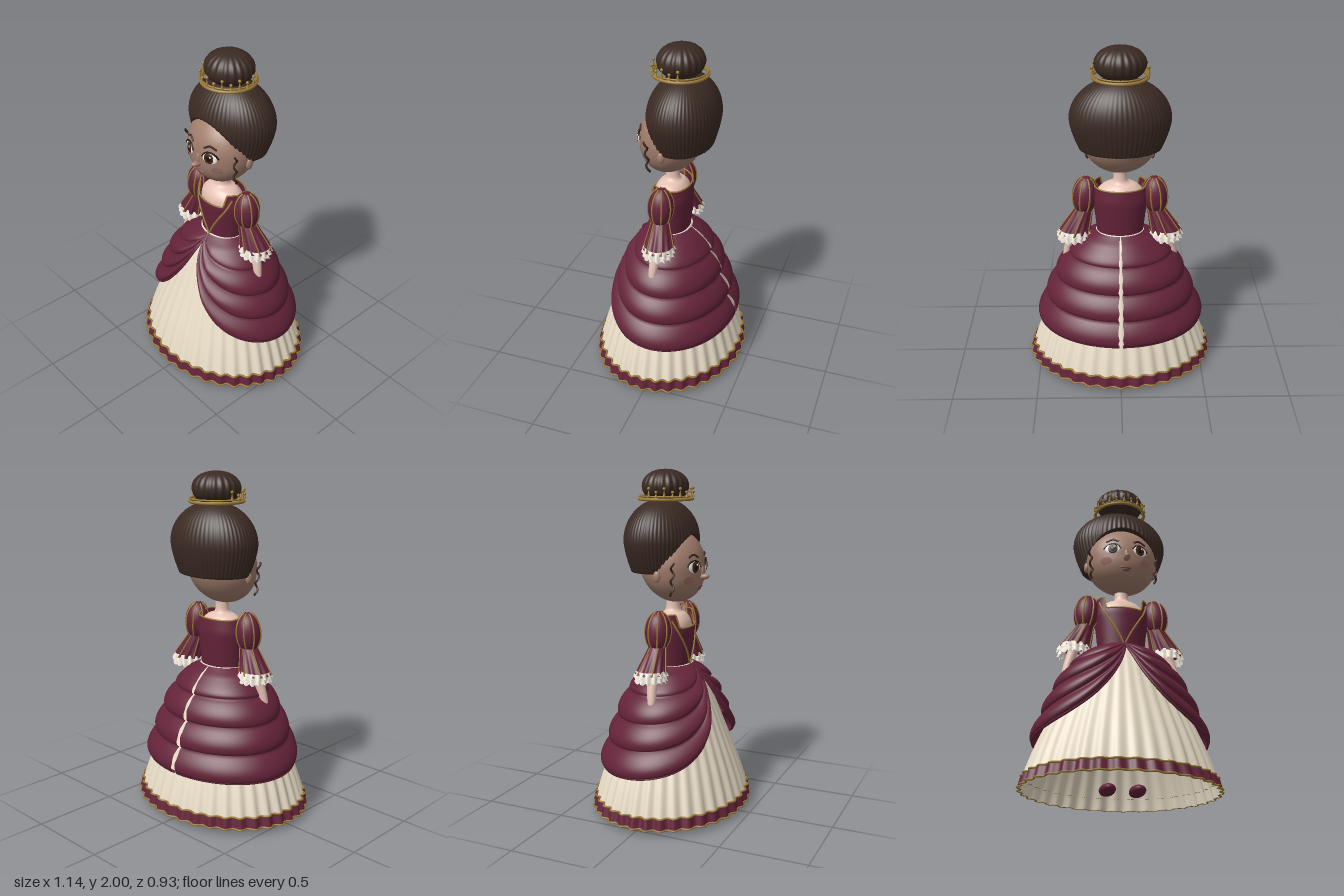
import * as THREE from 'three';

const { sin, cos, PI, abs, sqrt, max, min, exp } = Math;
const lerp = THREE.MathUtils.lerp;
const V = (x, y, z) => new THREE.Vector3(x, y, z);
const paint = (color) => new THREE.MeshStandardMaterial({ color, roughness: 0.8, side: THREE.DoubleSide });
const WINE = paint(0x642339), CREAM = paint(0xe8dcc6), GOLD = paint(0x9a7a35), HAIR = paint(0x3b2a23),
  FACE = paint(0xa17d6c), SKIN = paint(0xe6c2b3), LACE = paint(0xf0e8dc), DARK = paint(0x1c120e),
  IRIS = paint(0x4a2818), WHITE = paint(0xf4f0ea), LIP = paint(0x7c4843), BLUSH = paint(0xa3726a);

// Grid surface: f(u, v) gives a point; u runs around (counter-clockwise from above), v runs down
function surface(f, nu, nv, closed = true) {
  const pos = [], idx = [], cols = closed ? nu : nu + 1;
  for (let j = 0; j <= nv; j++) for (let i = 0; i < cols; i++) pos.push(...f(i / nu, j / nv));
  for (let j = 0; j < nv; j++) for (let i = 0; i < nu; i++) {
    const a = j * cols + i, b = j * cols + (i + 1) % cols;
    idx.push(a, a + cols, b + cols, a, b + cols, b);
  }
  const g = new THREE.BufferGeometry();
  g.setAttribute('position', new THREE.Float32BufferAttribute(pos, 3));
  g.setIndex(idx);
  g.computeVertexNormals();
  return g;
}
// Looks up [rx, rz] at a height in rows of [y, rx, rz], listed from the top down
function radii(rows, y) {
  let i = 0;
  while (i < rows.length - 2 && y < rows[i + 1][0]) i++;
  const [a, b] = [rows[i], rows[i + 1]], t = min(1, max(0, (a[0] - y) / (a[0] - b[0])));
  return [lerp(a[1], b[1], t), lerp(a[2], b[2], t)];
}

const BODICE = [[1.2, 0.15, 0.105], [1.08, 0.165, 0.122], [0.98, 0.15, 0.115], [0.87, 0.138, 0.105]];
const OVER = [[0.875, 0.135, 0.11], [0.84, 0.2, 0.155], [0.75, 0.285, 0.22], [0.6, 0.37, 0.285], [0.45, 0.43, 0.34], [0.3, 0.49, 0.385]];

export function createModel() {
  const root = new THREE.Group();
  const add = (name, geo, mat, parent = root) => {
    const m = new THREE.Mesh(geo, mat);
    m.name = name;
    parent.add(m);
    return m;
  };
  const ball = (name, mat, p, r, parent = root) => {
    const m = add(name, new THREE.SphereGeometry(1, 24, 16), mat, parent);
    m.position.set(...p);
    m.scale.set(...r);
    return m;
  };
  const tube = (name, mat, pts, r, closed = false, n = 24) =>
    add(name, new THREE.TubeGeometry(new THREE.CatmullRomCurve3(pts, closed), n, r, 6, closed), mat);

  // Pleated underskirt
  const skirtCurve = new THREE.CatmullRomCurve3([V(0.125, 0.87, 0.1), V(0.18, 0.84, 0.14), V(0.255, 0.74, 0.2),
    V(0.385, 0.47, 0.305), V(0.48, 0.25, 0.385), V(0.53, 0.1, 0.43), V(0.548, 0.03, 0.445)]);
  const pleat = (a) => cos(a * 36);
  add('underskirt', surface((u, v) => {
    const a = u * 2 * PI, p = skirtCurve.getPoint(v), w = 1 + 0.022 * v * pleat(a);
    return [p.x * w * sin(a), p.y, p.z * w * cos(a)];
  }, 288, 28), CREAM);
  // Hem band and its gold edges follow the pleats
  const hem = (a, y, grow) => {
    const w = 1 + 0.022 * pleat(a), t = (0.1 - y) / 0.07;
    return [(0.53 + 0.018 * t + grow) * w * sin(a), y, (0.43 + 0.015 * t + grow) * w * cos(a)];
  };
  add('hemBand', surface((u, v) => hem(u * 2 * PI, lerp(0.095, 0.03, v), 0.006), 288, 3), WINE);
  for (const y of [0.098, 0.034]) {
    const pts = [];
    for (let i = 0; i < 216; i++) pts.push(V(...hem(i / 216 * 2 * PI, y, 0.007)));
    tube('hemTrim', GOLD, pts, 0.006, true, 288);
  }

  // Draped overskirt: two halves, open at the front, split down the back
  const drape = (a, v) => {
    const b = abs(a), y = lerp(0.875, 0.29 + 0.585 * exp(-2.2 * b), v), [rx, rz] = radii(OVER, y);
    const swag = 0.036 * min(1, b * 2.5) * min(1, v * 4) * abs(sin(PI * 4 * v)) ** 0.7 + 0.008;
    return [(rx + swag) * sin(a), y - swag * 0.4 * v, (rz + swag) * cos(a)];
  };
  for (const s of [1, -1]) {
    const at = (u, v) => s * u * (PI - 0.022 - 0.012 * sin(v * 25) ** 2);
    add('overskirt', surface((u, v) => drape(at(s > 0 ? u : 1 - u, v), v), 72, 64, false), WINE);
    const edge = [];
    for (let i = 0; i <= 40; i++) edge.push(V(...drape(at(i / 40, 1), 1)));
    tube('overskirtEdge', WINE, edge, 0.008, false, 80);
    ball('shoe', WINE, [s * 0.083, 0.03, 0.045], [0.045, 0.03, 0.088]);
  }

  // Bodice with a low square front and a high back
  const bodiceAt = (a, y, grow = 0) => {
    const [rx, rz] = radii(BODICE, y);
    return V((rx + grow) * sin(a), y, (rz + grow) * cos(a));
  };
  const neckline = (a) => {
    const b = abs(a > PI ? a - 2 * PI : a);
    return b < 1.2 ? lerp(1.1, 1.18, THREE.MathUtils.smoothstep(b, 0.65, 0.9)) : 1.18 - 0.02 * min(1, b - 1.2);
  };
  add('bodice', surface((u, v) => bodiceAt(u * 2 * PI, lerp(neckline(u * 2 * PI), 0.865, v)).toArray(), 72, 16), WINE);
  const loop = (f) => Array.from({ length: 64 }, (_, i) => f(i / 64 * 2 * PI));
  tube('necklineTrim', GOLD, loop((a) => bodiceAt(a, neckline(a))), 0.005, true, 128);
  tube('waistTrim', LACE, loop((a) => bodiceAt(a, 0.872, 0.002)), 0.005, true, 64);
  for (const s of [1, -1]) {
    const pts = [];
    for (let i = 0; i <= 10; i++) pts.push(bodiceAt(s * lerp(0.03, 1.08, i / 10), lerp(0.875, 1.15, (i / 10) ** 0.9), 0.003));
    tube('bodiceTrim', GOLD, pts, 0.006);
  }

  // Shoulders and neck
  const CHEST = [V(0.04, 1.28, 0.04), V(0.039, 1.23, 0.039), V(0.046, 1.19, 0.046), V(0.1, 1.165, 0.075), V(0.14, 1.12, 0.1), V(0.15, 1.04, 0.105)];
  const chestCurve = new THREE.CatmullRomCurve3(CHEST);
  add('neckAndShoulders', surface((u, v) => {
    const p = chestCurve.getPoint(v), a = u * 2 * PI;
    return [p.x * sin(a), p.y, p.z * cos(a)];
  }, 40, 24), SKIN);

  // Sleeves, arms and hands
  for (const s of [1, -1]) {
    const puff = new THREE.Group();
    puff.name = 'puffSleeve';
    puff.position.set(s * 0.207, 1.095, 0);
    puff.rotation.z = s * 0.08;
    root.add(puff);
    ball('puff', WINE, [0, 0, 0], [0.076, 0.117, 0.074], puff);
    for (let k = 0; k < 8; k++) {
      const a = (k + 0.5) / 8 * 2 * PI, pts = [];
      for (let i = 0; i <= 12; i++) {
        const t = lerp(0.3, PI - 0.1, i / 12);
        pts.push(V(0.076 * sin(t) * sin(a), 0.117 * cos(t), 0.074 * sin(t) * cos(a)));
      }
      puff.add(tube('puffStripe', GOLD, pts, 0.005));
    }
    // Flared sleeve with stripes, then two lace frills
    const flare = (a, v, grow = 0) => {
      const r = lerp(0.052, 0.09, v) + grow + 0.006 * v * cos(a * 12);
      return [s * lerp(0.213, 0.276, v) + r * 1.02 * sin(a), lerp(1.01, 0.865, v), -0.012 * v + r * 0.95 * cos(a)];
    };
    add('flaredSleeve', surface((u, v) => flare(u * 2 * PI, v), 72, 8), WINE);
    for (let k = 0; k < 6; k++) {
      const a = k / 6 * 2 * PI;
      tube('sleeveStripe', GOLD, [0, 0.5, 1].map((v) => V(...flare(a, v, 0.001))), 0.004);
    }
    for (const [top, drop, r0] of [[0.885, 0.035, 0.086], [0.865, 0.045, 0.08]])
      add('laceFrill', surface((u, v) => {
        const a = u * 2 * PI, r = r0 + v * (0.012 + 0.008 * cos(a * 14));
        return [s * 0.276 + r * sin(a), top - v * (drop + 0.007 * sin(a * 14)), -0.012 + r * 0.95 * cos(a)];
      }, 112, 4), LACE);
    const arm = new THREE.CatmullRomCurve3([V(s * 0.25, 0.97, 0), V(s * 0.285, 0.84, 0), V(s * 0.315, 0.74, 0.01), V(s * 0.333, 0.66, 0.015)]);
    add('arm', surface((u, v) => {
      const p = arm.getPoint(v), r = lerp(0.038, 0.02, v), a = u * 2 * PI;
      return [p.x + r * sin(a), p.y, p.z + r * cos(a)];
    }, 20, 16), SKIN);
    ball('palm', SKIN, [s * 0.337, 0.645, 0.016], [0.017, 0.034, 0.024]);
    for (let i = 0; i < 4; i++) {
      const z = 0.034 - i * 0.012;
      tube('finger', SKIN, [V(s * 0.338, 0.635, z), V(s * 0.345, 0.61, z), V(s * 0.342, 0.59 + abs(i - 1.3) * 0.006, z)], 0.006, false, 8);
    }
    tube('thumb', SKIN, [V(s * 0.335, 0.655, 0.03), V(s * 0.33, 0.635, 0.045), V(s * 0.328, 0.615, 0.045)], 0.007, false, 8);
  }

  // Head, with the chin set slightly forward
  const shift = (y) => 0.15 * max(0, 1.42 - y);
  add('head', surface((u, v) => {
    const a = u * 2 * PI, t = v * PI, y = 1.452 + 0.212 * cos(t);
    return [0.215 * sin(t) * sin(a), y, 0.185 * sin(t) * cos(a) + shift(y)];
  }, 56, 36), FACE);
  const faceZ = (x, y) => 0.185 * sqrt(1 - (x / 0.215) ** 2 - ((y - 1.452) / 0.212) ** 2) + shift(y);
  const patch = (name, mat, x, y, w, h, d, lift = 0) => {
    const z = faceZ(x, y), n = V(x / 0.0462, (y - 1.452) / 0.045, z / 0.0342).normalize();
    const m = ball(name, mat, [x + n.x * lift, y + n.y * lift, z + n.z * lift], [w, h, d]);
    m.quaternion.setFromUnitVectors(V(0, 0, 1), n);
  };
  const stroke = (name, mat, pts, r) => tube(name, mat, pts.map(([x, y]) => V(x, y, faceZ(x, y) + 0.003)), r);
  for (const s of [1, -1]) {
    patch('eyeWhite', WHITE, s * 0.083, 1.457, 0.046, 0.034, 0.008);
    patch('iris', IRIS, s * 0.08, 1.457, 0.031, 0.032, 0.006, 0.004);
    patch('pupil', DARK, s * 0.08, 1.457, 0.018, 0.019, 0.005, 0.007);
    patch('eyeGlint', WHITE, s * 0.08 + 0.009, 1.468, 0.006, 0.006, 0.003, 0.011);
    stroke('lashes', DARK, [[s * 0.036, 1.457], [s * 0.055, 1.484], [s * 0.083, 1.493], [s * 0.112, 1.484], [s * 0.134, 1.462]], 0.005);
    stroke('eyebrow', HAIR, [[s * 0.045, 1.511], [s * 0.08, 1.527], [s * 0.118, 1.512]], 0.006);
    patch('cheekBlush', BLUSH, s * 0.118, 1.385, 0.036, 0.026, 0.002);
    ball('ear', FACE, [s * 0.213, 1.41, -0.005], [0.016, 0.034, 0.022]);
    // Ringlet in front of the ear
    const curl = [];
    for (let i = 0; i <= 24; i++) {
      const t = i / 24;
      curl.push(V(s * (0.205 - 0.015 * t + 0.008 * sin(t * 16)), 1.49 - 0.19 * t, 0.09 - 0.012 * t + 0.009 * cos(t * 16)));
    }
    tube('ringlet', HAIR, curl, 0.0065, false, 60);
  }
  const nose = ball('nose', FACE, [0, 1.395, 0.195], [0.02, 0.017, 0.034]);
  nose.rotation.x = -0.15;
  ball('noseBridge', FACE, [0, 1.425, 0.18], [0.013, 0.035, 0.015]);
  patch('upperLip', LIP, 0, 1.339, 0.033, 0.008, 0.009);
  patch('lowerLip', LIP, 0, 1.328, 0.023, 0.009, 0.01);

  // Swept-up hair: ribbed dome with an arched hairline, its edge rolled in to the head
  add('hair', surface((u, v) => {
    const a = u * 2 * PI, b = abs(a > PI ? a - 2 * PI : a);
    const low = 1.42 + 0.215 * max(0, 1 - b * b), w = min(1, v / 0.88);
    const t = w * Math.acos(max(-1, (low - 1.6) / 0.235));
    const y = 1.6 + 0.235 * cos(t), under = max(0, 1.6 - y) / 0.18;
    let k = y > 1.6 ? sin(t) : 1 - 0.2 * under ** 1.5;
    k *= (1 + 0.012 * w * cos(a * 60)) * (1 - 0.32 * max(0, (v - 0.88) / 0.12));
    return [0.285 * k * sin(a), y, -0.07 + 0.203 * k * cos(a)];
  }, 300, 40), HAIR);
  add('bun', surface((u, v) => {
    const a = u * 2 * PI, t = v * PI, r = 0.143 * sin(t) ** 0.9 * (1 + 0.025 * cos(a * 20));
    return [r * sin(a), 1.905 + 0.095 * cos(t), -0.048 + 0.92 * r * cos(a)];
  }, 160, 24), HAIR);

  // Crown: gold rings all round, beaded points over the front
  for (const [y, r, w] of [[1.832, 0.154, 0.009], [1.848, 0.152, 0.005]]) {
    const ring = add('crownRing', new THREE.TorusGeometry(r, w, 8, 64), GOLD);
    ring.rotation.x = PI / 2;
    ring.position.set(0, y, -0.045);
  }
  for (let i = -6; i <= 6; i++) {
    const a = i * 0.3, x = 0.157 * sin(a), z = -0.045 + 0.157 * cos(a), h = i % 2 ? 0.025 : 0.045;
    const point = add('crownPoint', new THREE.ConeGeometry(0.01, h, 8), GOLD);
    point.position.set(x, 1.845 + h / 2, z);
    ball('crownBead', GOLD, [x, 1.848 + h, z], [0.009, 0.009, 0.009]);
  }
  return root;
}
